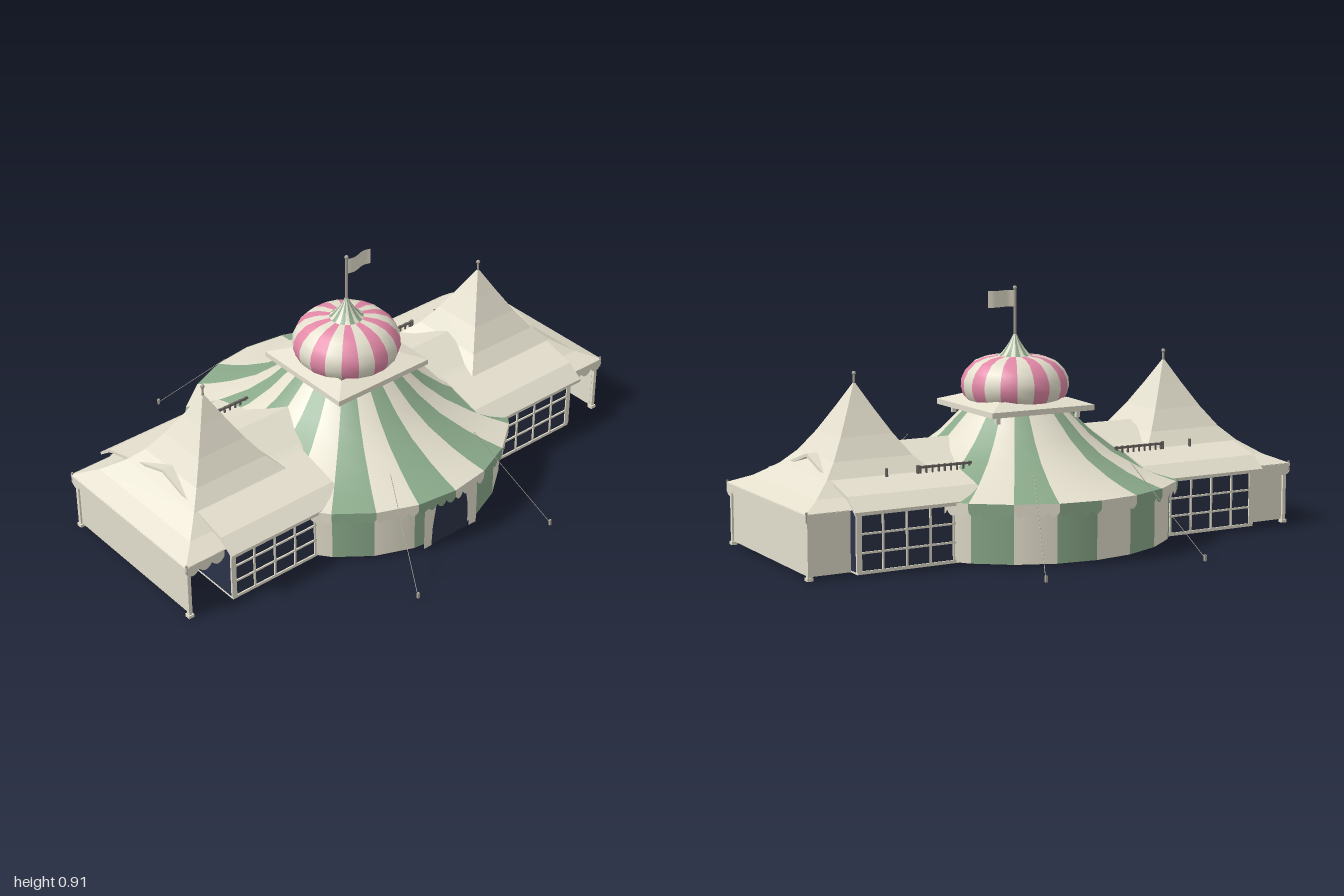
import * as THREE from 'three';
import { mergeGeometries } from 'three/addons/utils/BufferGeometryUtils.js';

const mat = (name, color) => {
  const m = new THREE.MeshStandardMaterial({ color, side: THREE.DoubleSide });
  m.name = name;
  return m;
};

export function createModel() {
  const cream = mat('cream canvas', 0xe4dfcd), green = mat('green canvas', 0x8aa98a);
  const pink = mat('pink canvas', 0xe288a7), navy = mat('dark glass', 0x2c3349);
  const metal = mat('dark metal', 0x6f6b66), pale = mat('pale metal', 0xa8a296);
  const root = new THREE.Group();
  root.name = 'marquee';

  const add = (name, geo, material, parent = root) => {
    const m = new THREE.Mesh(geo, material);
    m.name = name;
    parent.add(m);
  };
  const box = (w, h, d, x, y, z) => new THREE.BoxGeometry(w, h, d).translate(x, y, z);
  const rod = (a, b, r) => {
    const p = new THREE.Vector3(...a), q = new THREE.Vector3(...b), d = q.clone().sub(p);
    const g = new THREE.CylinderGeometry(r, r, d.length(), 6);
    g.applyQuaternion(new THREE.Quaternion().setFromUnitVectors(new THREE.Vector3(0, 1, 0), d.normalize()));
    return g.translate(...p.add(q).multiplyScalar(0.5).toArray());
  };
  const vec = pts => pts.map(p => new THREE.Vector2(...p));

  // Lathe cut into sectors, grouped into two colours
  const striped = (name, pts, n, start, isSecond, first, second) => {
    const sets = [[], []], step = 2 * Math.PI / n;
    for (let i = 0; i < n; i++)
      sets[isSecond(i) ? 1 : 0].push(new THREE.LatheGeometry(vec(pts), 1, start + i * step, step));
    add(name + 'Light', mergeGeometries(sets[0]), first);
    add(name + 'Stripes', mergeGeometries(sets[1]), second);
  };
  const odd = i => i % 2 === 1;

  // Square flat-shaded solid from [half width, height] pairs
  const square = p => {
    const g = new THREE.LatheGeometry(vec(p.map(([d, y]) => [d * Math.SQRT2, y])), 4, Math.PI / 4).toNonIndexed();
    g.computeVertexNormals();
    return g;
  };

  // Flat strip with a scalloped lower edge, centred on x, facing z
  const scallops = (width, n, top, bottom) => {
    const s = new THREE.Shape(), w = width / n, x0 = -width / 2;
    s.moveTo(x0, top);
    s.lineTo(x0, bottom + 0.018);
    for (let i = 0; i < n; i++)
      s.quadraticCurveTo(x0 + (i + 0.5) * w, bottom - 0.018, x0 + (i + 1) * w, bottom + 0.018);
    s.lineTo(-x0, top);
    return new THREE.ShapeGeometry(s, 6);
  };

  // Round tent: walls, roof and valance
  striped('tentWall', [[0.57, 0.01], [0.57, 0.225]], 24, 0, odd, cream, green);
  const roofGreen = [1, 3, 5, 8, 10, 13, 15, 17, 19, 21, 23];
  striped('tentRoof', [[0.6, 0.222], [0.53, 0.243], [0.46, 0.27], [0.36, 0.32], [0.28, 0.38], [0.22, 0.44], [0.17, 0.49]],
    24, 0, i => roofGreen.includes(i), cream, green);
  const valance = [[], []];
  for (let i = 0; i < 24; i++)
    valance[i % 2].push(scallops(0.157, 4, 0.224, 0.178)
      .translate(0, 0, 0.595).rotateY((i + 0.5) * Math.PI / 12));
  add('valanceLight', mergeGeometries(valance[0]), cream);
  add('valanceStripes', mergeGeometries(valance[1]), green);

  // Entrance with tied-back flaps
  add('entrance', box(0.17, 0.165, 0.012, 0, 0.0925, 0.568), navy);
  for (const s of [-1, 1]) {
    const f = new THREE.Shape(vec([[s * 0.125, 0.01], [s * 0.09, 0.01], [s * 0.085, 0.09], [s * 0.07, 0.18], [s * 0.125, 0.18]]));
    add('entranceFlap', new THREE.ShapeGeometry(f).translate(0, 0, 0.577), cream);
  }

  // Square hipped collar under the dome
  add('collar', square([[0.17, 0.468], [0.21, 0.468], [0.21, 0.488], [0.14, 0.512]]), cream);
  for (const x of [-0.165, 0.165]) for (const z of [-0.165, 0.165])
    add('collarBracket', box(0.015, 0.03, 0.015, x, 0.455, z), cream);

  // Dome, spire, flagpole
  striped('dome', [[0.17, 0.495], [0.188, 0.515], [0.197, 0.545], [0.195, 0.575], [0.18, 0.607], [0.15, 0.636], [0.11, 0.652], [0.05, 0.66]],
    20, -Math.PI / 20, i => !odd(i), cream, pink);
  striped('spire', [[0.07, 0.654], [0.052, 0.664], [0.034, 0.686], [0.018, 0.71], [0.006, 0.735]],
    20, -Math.PI / 20, odd, cream, green);
  add('flagpole', rod([0, 0.72, 0], [0, 0.9, 0], 0.005), pale);
  add('poleBall', new THREE.SphereGeometry(0.008, 10, 8).translate(0, 0.903, 0), pale);
  const flag = new THREE.PlaneGeometry(0.11, 0.06, 12, 1).translate(0.057, 0.865, 0);
  const fp = flag.attributes.position;
  for (let i = 0; i < fp.count; i++) fp.setZ(i, 0.007 * Math.sin(fp.getX(i) * 55));
  flag.computeVertexNormals();
  add('flag', flag, cream);

  add('floor', box(1.62, 0.005, 0.72, 0, 0.01, 0), cream);

  // Thin roof shell with its ridge along x, from [z, y] points of one slope
  const roofShell = (x0, x1, slope) => {
    const t = 0.012, left = slope.map(([z, y]) => [-z, y]), right = slope.slice(0, -1).reverse();
    const upper = [...left, ...right];
    const lower = upper.map(([z, y]) => [z, y - t]).reverse();
    return new THREE.ExtrudeGeometry(new THREE.Shape(vec([...upper, ...lower])), { depth: x1 - x0, bevelEnabled: false })
      .rotateY(Math.PI / 2).translate(x0, 0, 0);
  };

  // Side wings, built on +x and mirrored
  for (const s of [-1, 1]) {
    const wing = new THREE.Group();
    wing.name = s > 0 ? 'leftWing' : 'rightWing';
    root.add(wing);
    const put = (name, g, m) => {
      if (s < 0) {
        g = g.index ? g.toNonIndexed() : g;
        g.scale(-1, 1, 1);
        // restore corner order after mirroring
        for (const a of Object.values(g.attributes))
          for (let i = 0; i < a.count; i += 3)
            for (let k = 0; k < a.itemSize; k++) {
              const t = a.getComponent(i + 1, k);
              a.setComponent(i + 1, k, a.getComponent(i + 2, k));
              a.setComponent(i + 2, k, t);
            }
        g.normalizeNormals();
      }
      add(name, g, m, wing);
    };

    put('galleryRoof', roofShell(0.34, 0.83, [[0.39, 0.226], [0.33, 0.27], [0.16, 0.316], [0, 0.368]]), cream);
    put('linkRoof', roofShell(0.27, 0.5, [[0.2, 0.295], [0, 0.385]]), cream);
    put('pavilionRoof', square([[0.345, 0.226], [0.27, 0.258], [0.2, 0.306], [0.15, 0.357], [0.1, 0.43], [0.05, 0.516], [0.004, 0.6]])
      .translate(0.645, 0, 0), cream);
    put('finial', rod([0.645, 0.59, 0], [0.645, 0.632, 0], 0.004), pale);
    put('finialBall', new THREE.SphereGeometry(0.008, 8, 6).translate(0.645, 0.635, 0), pale);

    // Glazed gallery with glazing bars, running on through the tent
    for (const z of [-0.35, 0.35]) {
      put('galleryGlass', box(0.808, 0.2, 0.01, 0.404, 0.113, z), navy);
      const bars = [], zb = z + Math.sign(z) * 0.006;
      for (let i = 0; i < 9; i++) bars.push(box(i ? 0.007 : 0.02, 0.2, 0.008, 0.802 - i * 0.0895, 0.115, zb));
      for (const y of [0.015, 0.08, 0.145, 0.216]) bars.push(box(0.808, 0.007, 0.008, 0.404, y, zb));
      put('galleryBars', mergeGeometries(bars), cream);
    }
    put('endGlass', box(0.01, 0.2, 0.69, 0.803, 0.113, 0), navy);

    // Canvas screens, corner posts and valances of the end porch
    put('endScreen', box(0.008, 0.215, 0.65, 0.968, 0.12, 0), cream);
    put('rearScreen', box(0.15, 0.215, 0.008, 0.893, 0.12, -0.322), cream);
    for (const z of [-0.328, 0.328]) {
      put('cornerPost', box(0.014, 0.22, 0.014, 0.972, 0.115, z), cream);
      put('postFoot', box(0.022, 0.012, 0.022, 0.972, 0.006, z), cream);
      put('postCap', rod([0.985, 0.2, z * 1.04], [0.985, 0.235, z * 1.04], 0.004), pale);
      put('sideValance', scallops(0.16, 3, 0.228, 0.182).translate(0.908, 0, z * 1.05), cream);
    }
    put('endValance', scallops(0.69, 13, 0.228, 0.18).rotateY(Math.PI / 2).translate(0.988, 0, 0), cream);

    // Roof comb and vents on the rear slope
    const comb = [box(0.21, 0.008, 0.008, 0.4, 0.322, -0.212)];
    for (let i = 0; i < 9; i++) comb.push(box(0.006, 0.03, 0.006, 0.305 + i * 0.024, 0.313, -0.212));
    put('roofComb', mergeGeometries(comb), metal);
    for (const x of [0.505, 0.625])
      put('roofVent', new THREE.CylinderGeometry(0.006, 0.006, 0.035, 8).translate(x, 0.312, -0.21), metal);

    // Guy ropes and pegs
    for (const z of [-1, 1]) {
      put('guyRope', rod([0.198, 0.315, 0.475 * z], [0.317, 0.02, 0.76 * z], 0.0012), pale);
      put('peg', box(0.008, 0.022, 0.008, 0.317, 0.02, 0.763 * z), pale);
    }
  }
  return root;
}
